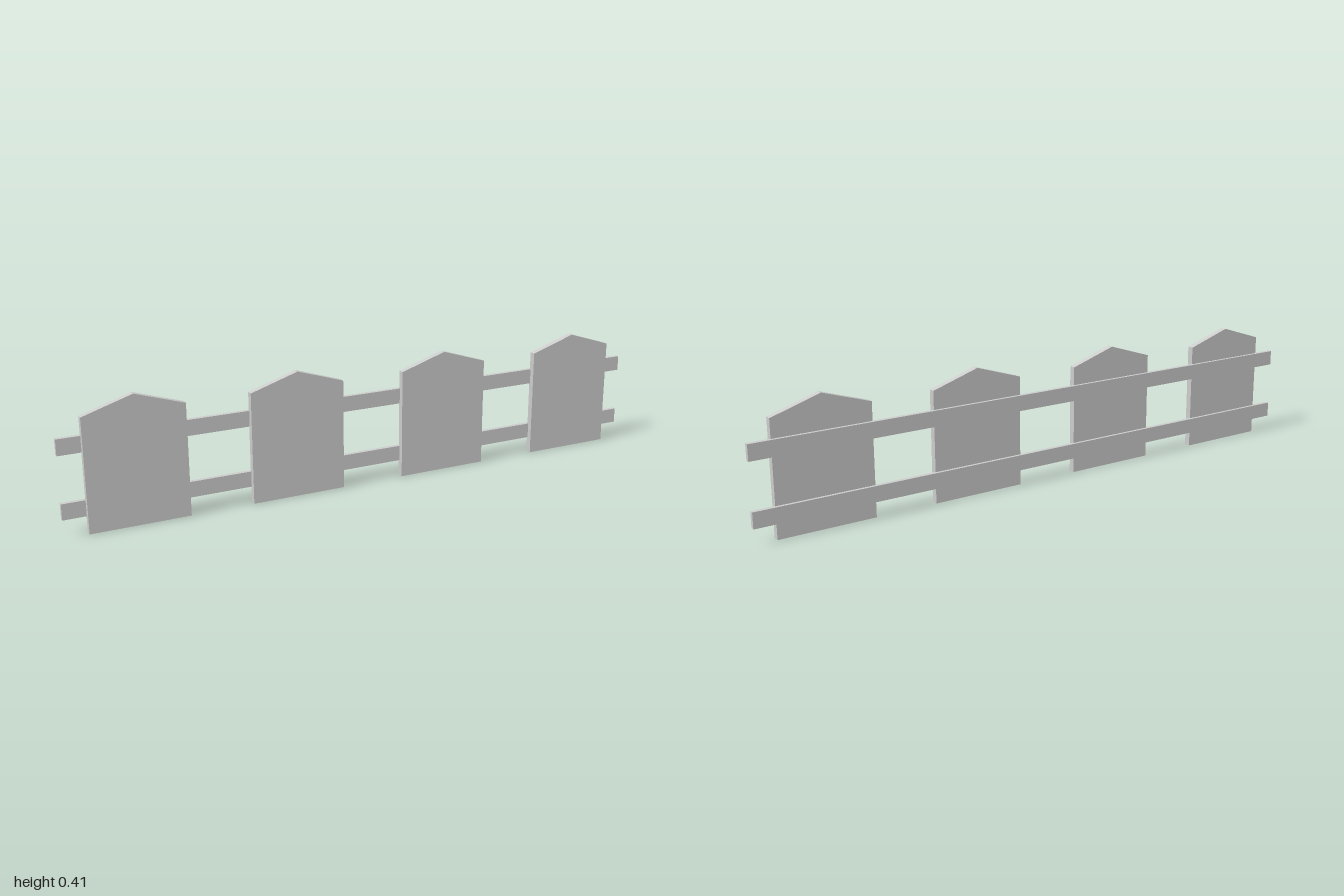
import * as THREE from 'three';

export function createModel() {
  const group = new THREE.Group();
  const material = new THREE.MeshStandardMaterial({ color: 0xcccccc, flatShading: true });

  // Wide pickets with a shallow pointed top
  const halfWidth = 0.155, shoulder = 0.356, peak = 0.405;
  const outline = new THREE.Shape([
    new THREE.Vector2(-halfWidth, 0),
    new THREE.Vector2(halfWidth, 0),
    new THREE.Vector2(halfWidth, shoulder),
    new THREE.Vector2(0, peak),
    new THREE.Vector2(-halfWidth, shoulder),
  ]);
  const picketGeometry = new THREE.ExtrudeGeometry(outline, { depth: 0.021, bevelEnabled: false });
  [-0.774, -0.261, 0.261, 0.774].forEach((x, i) => {
    const picket = new THREE.Mesh(picketGeometry, material);
    picket.name = `picket${i + 1}`;
    picket.position.set(x, 0, -0.005);
    group.add(picket);
  });

  // Two horizontal rails let slightly into the back of the pickets
  const railGeometry = new THREE.BoxGeometry(2, 0.05, 0.014);
  for (const [name, y] of [['lowerRail', 0.076], ['upperRail', 0.272]]) {
    const rail = new THREE.Mesh(railGeometry, material);
    rail.name = name;
    rail.position.set(0, y, -0.008);
    group.add(rail);
  }

  return group;
}
